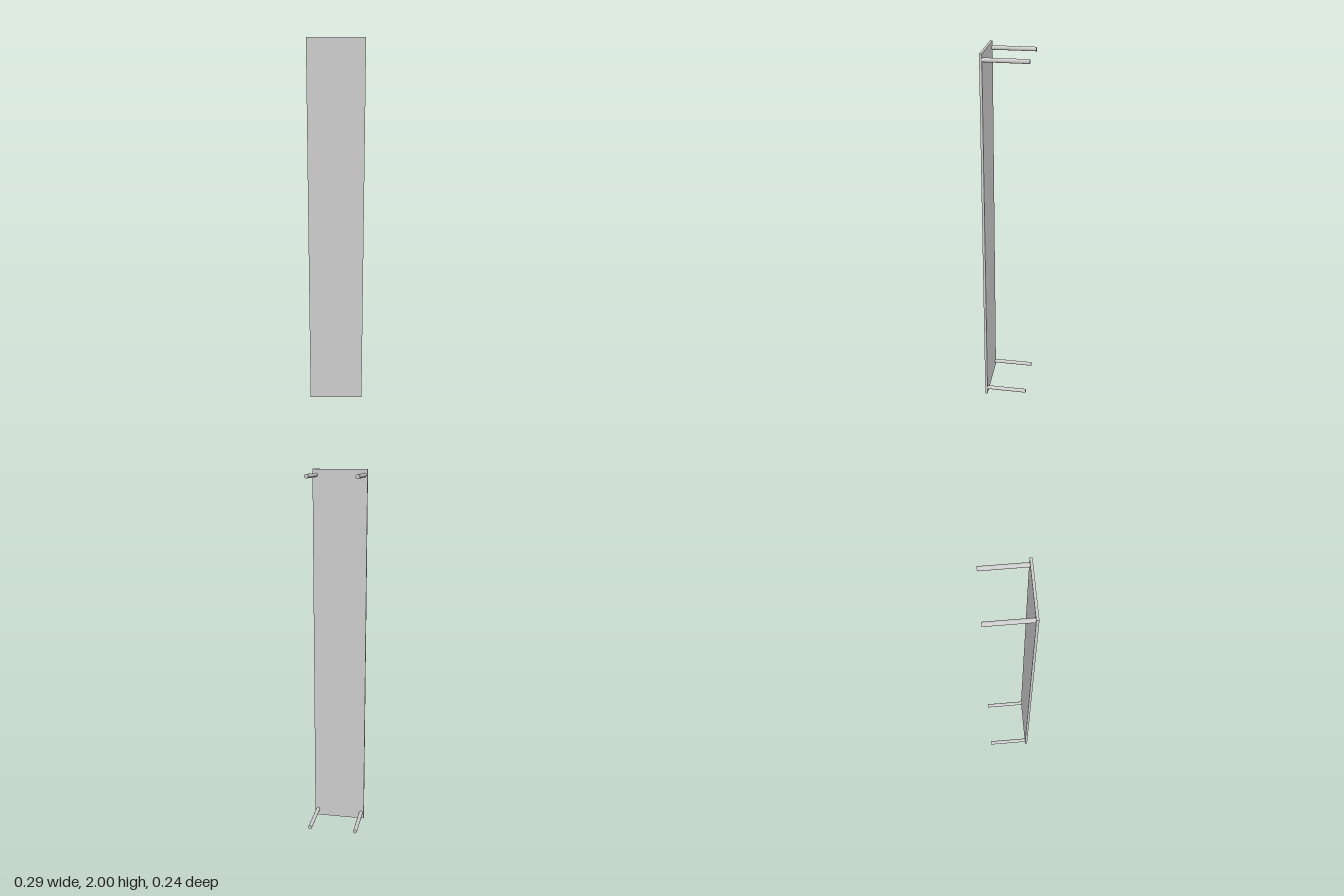
import * as THREE from 'three';

export function createModel() {
  const group = new THREE.Group();
  const material = new THREE.MeshStandardMaterial({ color: 0xcccccc });
  const depth = 0.238, thickness = 0.013, rodRadius = 0.0108;

  // Tall flat panel
  const panel = new THREE.Mesh(new THREE.BoxGeometry(0.291, 2, thickness), material);
  panel.name = 'panel';
  panel.position.set(0, 1, depth / 2 - thickness / 2);
  group.add(panel);

  // Four round standoff rods behind the corners
  const rodLength = depth - thickness;
  const rodGeometry = new THREE.CylinderGeometry(rodRadius, rodRadius, rodLength, 32);
  rodGeometry.rotateX(Math.PI / 2);
  for (const [level, y] of [['lower', 0.036], ['upper', 1.969]]) {
    for (const [side, x] of [['Right', -0.129], ['Left', 0.129]]) {
      const rod = new THREE.Mesh(rodGeometry, material);
      rod.name = level + side + 'Rod';
      rod.position.set(x, y, -thickness / 2);
      group.add(rod);
    }
  }
  return group;
}
